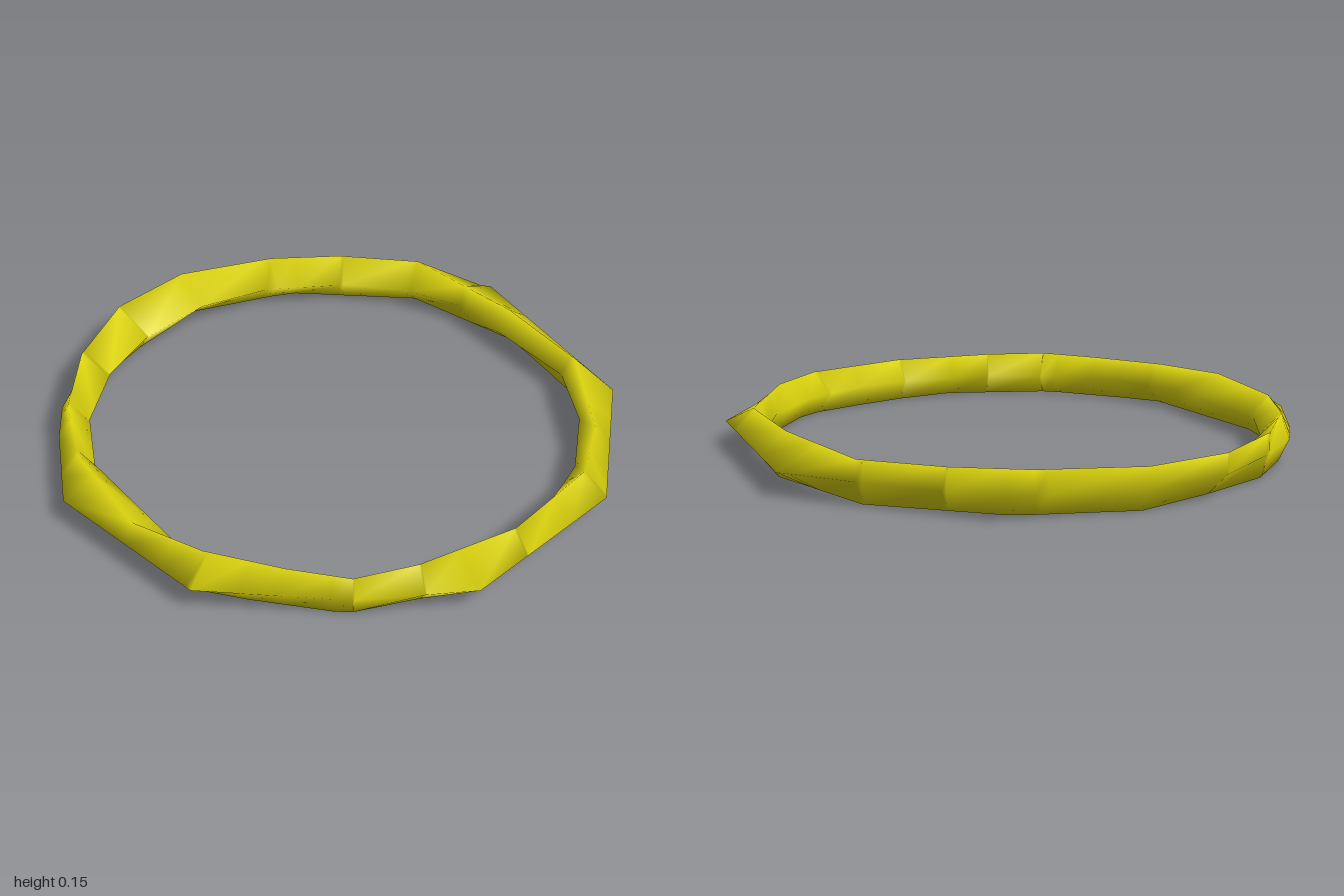
import * as THREE from 'three';

// Plan outlines of the ring's four long edges, as [x, z] corners
const inner = [[0.845, -0.01], [0.8, 0.26], [0.7, 0.44], [0.48, 0.69], [0.24, 0.81], [-0.02, 0.85],
  [-0.28, 0.81], [-0.73, 0.49], [-0.85, 0.26], [-0.89, -0.02], [-0.85, -0.28], [-0.73, -0.53],
  [-0.53, -0.72], [-0.26, -0.84], [-0.02, -0.88], [0.21, -0.84], [0.68, -0.52], [0.8, -0.28]];
const outer = [[0.985, 0.13], [0.7, 0.71], [0.33, 0.88], [-0.18, 0.995], [-0.75, 0.71], [-0.91, 0.39],
  [-0.97, 0.23], [-0.99, 0], [-0.98, -0.33], [-0.84, -0.61], [-0.5, -0.915], [0, -0.98],
  [0.29, -1], [0.88, -0.48]];
const crest = [[0.9, 0.1], [0.75, 0.46], [0.5, 0.73], [0.32, 0.86], [0.1, 0.88], [-0.18, 0.88],
  [-0.45, 0.82], [-0.76, 0.55], [-0.91, 0.3], [-0.99, 0], [-0.98, -0.33], [-0.84, -0.61],
  [-0.55, -0.82], [-0.3, -0.92], [0, -0.975], [0.42, -0.76], [0.72, -0.53], [0.88, -0.15]];
const base = [[0.9, 0.05], [0.68, 0.6], [0.3, 0.86], [-0.15, 0.91], [-0.7, 0.6], [-0.93, 0.25],
  [-0.97, -0.05], [-0.82, -0.57], [-0.48, -0.83], [0, -0.945], [0.45, -0.78], [0.78, -0.47]];

const angleOf = ([x, z]) => Math.atan2(z, x);

// Distance from the centre to an outline in the direction of angle a
function radiusAt(outline, a) {
  const c = Math.cos(a), s = Math.sin(a);
  for (let i = 0; i < outline.length; i++) {
    const [x1, z1] = outline[i];
    const [x2, z2] = outline[(i + 1) % outline.length];
    const before = c * z1 - s * x1, after = c * z2 - s * x2;
    if (before <= 1e-9 && after > 1e-9) {
      const t = before / (before - after);
      return (x1 + (x2 - x1) * t) * c + (z1 + (z2 - z1) * t) * s;
    }
  }
  return 0.9;
}

// Four-cornered cross-sections placed at every bend of the outlines
function ringGeometry() {
  const angles = [...outer, ...inner, ...crest].map(angleOf).sort((a, b) => a - b)
    .filter((a, i, all) => i === 0 || a - all[i - 1] > 0.002);
  const positions = [], index = [];
  const n = angles.length;
  angles.forEach((a, i) => {
    const rIn = radiusAt(inner, a), rOut = radiusAt(outer, a);
    const between = (r) => Math.min(rOut, Math.max(rIn + 0.02, r));
    const section = [[rIn, 0.075], [between(radiusAt(base, a)), 0],
      [rOut, 0.08], [between(radiusAt(crest, a)), 0.153]];
    section.forEach(([r, y], j) => {
      positions.push(r * Math.cos(a), y, r * Math.sin(a));
      const k = (j + 1) % 4, m = (i + 1) % n;
      const p = i * 4 + j, q = i * 4 + k, u = m * 4 + j, v = m * 4 + k;
      index.push(p, q, u, q, v, u);
    });
  });
  const geometry = new THREE.BufferGeometry();
  geometry.setAttribute('position', new THREE.Float32BufferAttribute(positions, 3));
  geometry.setIndex(index);
  geometry.computeVertexNormals();
  return geometry;
}

export function createModel() {
  const yellow = new THREE.MeshStandardMaterial({ color: 0xdcd40e });
  yellow.name = 'yellow';
  const ring = new THREE.Mesh(ringGeometry(), yellow);
  ring.name = 'ring';
  const model = new THREE.Group();
  model.name = 'unevenRing';
  model.add(ring);
  return model;
}
